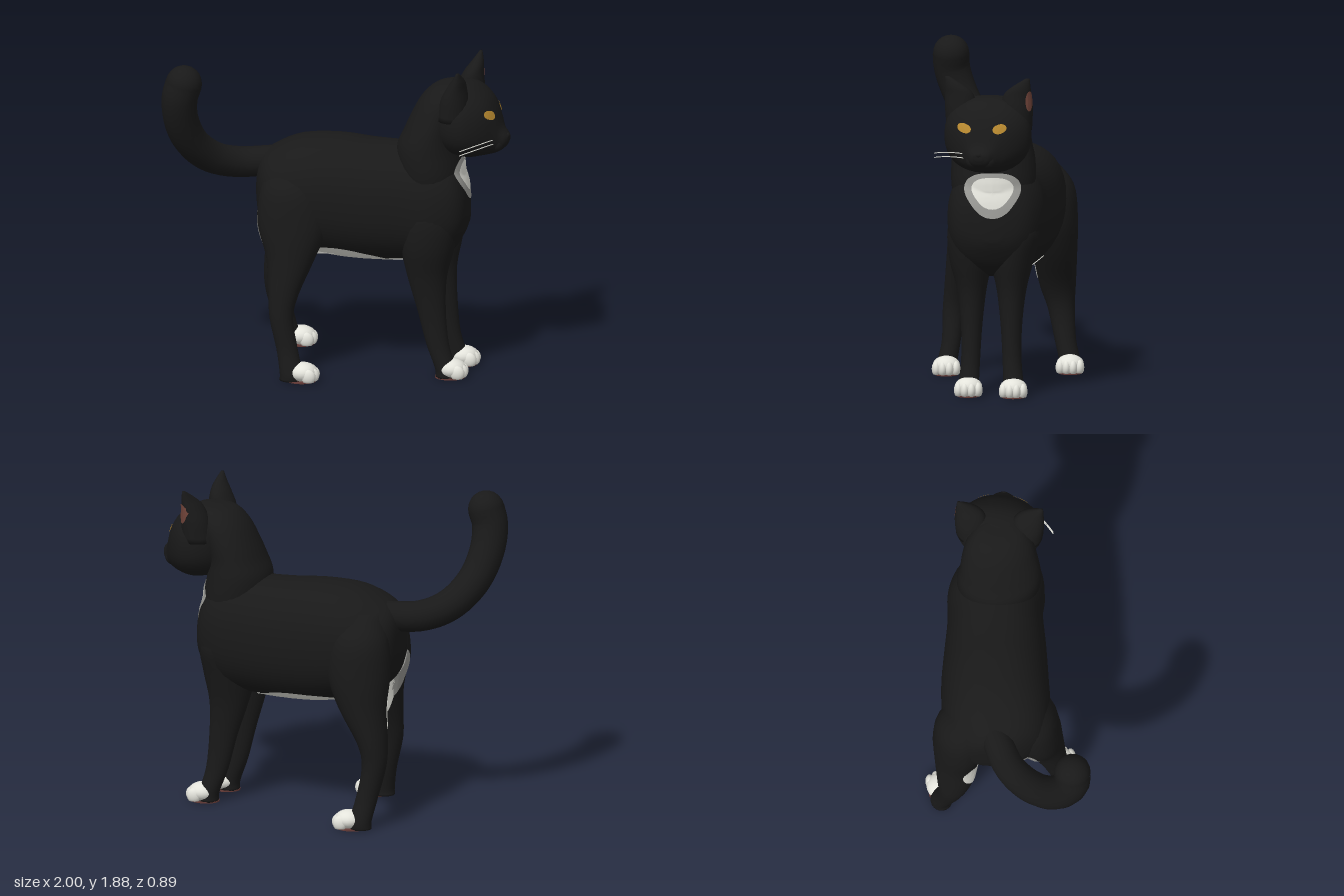
import * as THREE from 'three';

const mat = (name, color, side = THREE.FrontSide) => {
  const m = new THREE.MeshStandardMaterial({ color, side });
  m.name = name;
  return m;
};

// Smooth skin through cross-sections [t, a, b, ra, rb]; t runs along the axis.
// axis 'x': ring in y/z, t increasing.  axis 'y': ring in x/z, t decreasing.
function loft(sections, axis, around = 28, steps = 4, power = 1) {
  const n = sections.length;
  const curve = new THREE.CubicInterpolant(sections.map((_, i) => i), sections.flat(), 5);
  const pos = [], idx = [];
  const put = (t, p, q) => (axis === 'x' ? pos.push(t, p, q) : pos.push(p, t, q));
  const soft = (v) => Math.sign(v) * Math.abs(v) ** power;
  const rings = (n - 1) * steps + 1;
  for (let i = 0; i < rings; i++) {
    const [t, a, b, ra, rb] = [...curve.evaluate(i / steps)];
    for (let j = 0; j < around; j++) {
      const w = (j / around) * Math.PI * 2;
      put(t, a + ra * soft(Math.cos(w)), b + rb * soft(Math.sin(w)));
    }
  }
  const first = sections[0], last = sections[n - 1], s = rings * around;
  put(first[0], first[1], first[2]);
  put(last[0], last[1], last[2]);
  for (let j = 0; j < around; j++) {
    const k = (j + 1) % around, e = (rings - 1) * around;
    idx.push(s, k, j, s + 1, e + j, e + k);
    for (let i = 0; i < rings - 1; i++) {
      const p = i * around, q = p + around;
      idx.push(p + j, p + k, q + j, p + k, q + k, q + j);
    }
  }
  const g = new THREE.BufferGeometry();
  g.setAttribute('position', new THREE.Float32BufferAttribute(pos, 3));
  g.setIndex(idx);
  g.computeVertexNormals();
  return g;
}

// Section along x given by its top and bottom heights
const slice = (x, top, bottom, z, half) => [x, (top + bottom) / 2, z, (top - bottom) / 2, half];

export function createModel() {
  const root = new THREE.Group();
  root.name = 'cat';
  const black = mat('black fur', 0x191919);
  const white = mat('white fur', 0xe4e4dc, THREE.DoubleSide);
  const grey = mat('grey fur', 0x9a9a96, THREE.DoubleSide);
  const amber = mat('amber eye', 0xb98a30, THREE.DoubleSide);
  const brown = mat('paw pad', 0x643a36);
  const pink = mat('inner ear', 0x6e4238, THREE.DoubleSide);

  const add = (name, geometry, material, parent = root) => {
    const m = new THREE.Mesh(geometry, material);
    m.name = name;
    parent.add(m);
    return m;
  };

  // Torso and neck
  const torso = add('torso', loft([
    slice(-0.48, 1.13, 0.96, -0.04, 0.05),
    slice(-0.455, 1.23, 0.86, -0.04, 0.17),
    slice(-0.38, 1.295, 0.78, -0.03, 0.26),
    slice(-0.22, 1.36, 0.71, -0.03, 0.31),
    slice(0, 1.375, 0.67, -0.02, 0.31),
    slice(0.2, 1.36, 0.66, 0, 0.295),
    slice(0.4, 1.355, 0.665, 0.02, 0.275),
    slice(0.55, 1.36, 0.68, 0.04, 0.28),
    slice(0.67, 1.3, 0.74, 0.055, 0.24),
    slice(0.735, 1.17, 0.84, 0.06, 0.17),
    slice(0.762, 1.05, 0.91, 0.06, 0.06),
  ], 'x', 36, 4, 0.88), black);
  const neck = add('neck', loft([
    [1.745, 0.68, 0.07, 0.05, 0.08],
    [1.72, 0.655, 0.07, 0.105, 0.14],
    [1.65, 0.62, 0.065, 0.14, 0.19],
    [1.55, 0.575, 0.06, 0.15, 0.215],
    [1.45, 0.54, 0.06, 0.16, 0.23],
    [1.35, 0.525, 0.055, 0.185, 0.242],
    [1.2, 0.54, 0.055, 0.19, 0.24],
    [1.0, 0.55, 0.05, 0.16, 0.2],
  ], 'y', 32), black);

  // Tail, a tube that swells toward a round tip
  const tailPath = new THREE.CatmullRomCurve3([
    [-0.38, 1.2, -0.06], [-0.58, 1.2, 0], [-0.72, 1.25, 0.09], [-0.83, 1.37, 0.2],
    [-0.885, 1.53, 0.29], [-0.89, 1.68, 0.34], [-0.865, 1.77, 0.345],
  ].map((p) => new THREE.Vector3(...p)));
  const tail = new THREE.TubeGeometry(tailPath, 32, 0.1, 16);
  const tp = tail.attributes.position, v = new THREE.Vector3();
  for (let i = 0; i < tp.count; i++) {
    const t = Math.floor(i / 17) / 32, c = tailPath.getPointAt(t);
    v.fromBufferAttribute(tp, i).sub(c).multiplyScalar(0.86 + 0.2 * t).add(c);
    tp.setXYZ(i, v.x, v.y, v.z);
  }
  add('tail', tail, black);
  add('tailTip', new THREE.SphereGeometry(0.105, 18, 12), black)
    .position.copy(tailPath.getPointAt(1));

  // Legs, listed from top to bottom
  const nearFront = [
    [1.1, 0.54, 0.18, 0.12, 0.1], [0.95, 0.545, 0.185, 0.165, 0.135], [0.78, 0.53, 0.185, 0.155, 0.125],
    [0.6, 0.525, 0.18, 0.115, 0.085], [0.4, 0.55, 0.18, 0.083, 0.062], [0.2, 0.585, 0.185, 0.066, 0.055],
    [0.06, 0.63, 0.195, 0.06, 0.06], [0.005, 0.635, 0.195, 0.06, 0.065],
  ];
  const farFront = nearFront.map(([y, x, z, rx, rz], i) =>
    [y, x + Math.min(0.045, i * 0.012), (i < 2 ? 0.1 : 0.13) - z, rx, rz]);
  const nearRear = [
    [1.22, -0.27, 0.1, 0.1, 0.1], [1.1, -0.26, 0.15, 0.18, 0.15], [0.9, -0.25, 0.19, 0.205, 0.145],
    [0.7, -0.26, 0.235, 0.14, 0.115], [0.5, -0.295, 0.285, 0.088, 0.08], [0.36, -0.305, 0.31, 0.068, 0.065],
    [0.18, -0.27, 0.325, 0.062, 0.055], [0.05, -0.245, 0.35, 0.066, 0.06], [0.005, -0.245, 0.35, 0.066, 0.06],
  ];
  const farRear = [
    [1.25, -0.29, -0.16, 0.1, 0.1], [1.1, -0.28, -0.22, 0.17, 0.16], [0.9, -0.28, -0.245, 0.185, 0.16],
    [0.7, -0.31, -0.27, 0.14, 0.13], [0.5, -0.375, -0.285, 0.088, 0.105], [0.36, -0.39, -0.305, 0.07, 0.078],
    [0.18, -0.355, -0.33, 0.064, 0.062], [0.05, -0.325, -0.36, 0.066, 0.062], [0.005, -0.325, -0.36, 0.066, 0.062],
  ];
  const legs = {};
  const flatSphere = (x, y, z, rx, ry, rz) => {
    const g = new THREE.SphereGeometry(1, 18, 12).scale(rx, ry, rz).translate(x, y, z);
    const p = g.attributes.position;
    for (let i = 0; i < p.count; i++) p.setY(i, Math.max(0.006, p.getY(i)));
    g.computeVertexNormals();
    return g;
  };
  for (const [name, sections] of Object.entries({ nearFront, farFront, nearRear, farRear })) {
    legs[name] = add(name + 'Leg', loft(sections, 'y', 22), black);
    // Paw with four toes and a pad below
    const [, x, z] = sections[sections.length - 1];
    const paw = new THREE.Group();
    paw.name = name + 'Paw';
    paw.position.set(x + (x > 0 ? 0.035 : 0.07), 0, z);
    root.add(paw);
    add('foot', flatSphere(0, 0.054, 0, 0.083, 0.056, 0.08), white, paw);
    [-0.056, -0.019, 0.019, 0.056].forEach((tz, i) =>
      add('toe', flatSphere(i % 3 ? 0.053 : 0.036, 0.04, tz, 0.042, 0.045, 0.027), white, paw));
    const pad = add('pad', new THREE.CylinderGeometry(0.07, 0.07, 0.008, 20), brown, paw);
    pad.scale.x = 1.25;
    pad.position.set(-0.012, 0.004, 0);
  }

  // Head, turned slightly to one side
  const head = new THREE.Group();
  head.name = 'head';
  head.position.set(0.72, 0, 0.075);
  head.rotation.y = -0.19;
  root.add(head);
  const skull = add('skull', loft([
    slice(-0.15, 1.68, 1.42, 0, 0.1),
    slice(-0.1, 1.73, 1.36, 0, 0.19),
    slice(-0.02, 1.75, 1.325, 0, 0.245),
    slice(0.06, 1.742, 1.315, 0, 0.25),
    slice(0.125, 1.705, 1.325, 0, 0.215),
    slice(0.175, 1.655, 1.335, 0, 0.165),
    slice(0.21, 1.585, 1.345, 0, 0.115),
    slice(0.237, 1.505, 1.36, 0, 0.08),
    slice(0.265, 1.467, 1.385, 0, 0.055),
    slice(0.28, 1.45, 1.415, 0, 0.025),
  ], 'x', 32, 4, 0.86), black, head);
  add('nose', new THREE.SphereGeometry(0.025, 12, 8).scale(0.7, 0.7, 1), black, head).position.set(0.266, 1.445, 0);
  const ears = [1, -1].map((s) => {
    add('muzzle', new THREE.SphereGeometry(0.05, 14, 10), black, head).position.set(0.21, 1.405, 0.04 * s);
    return add('ear', loft([
      [1.866, 0.04, 0.237 * s, 0.008, 0.012],
      [1.81, 0.03, 0.195 * s, 0.036, 0.058],
      [1.76, 0.015, 0.172 * s, 0.056, 0.084],
      [1.68, 0, 0.165 * s, 0.08, 0.093],
      [1.56, -0.01, 0.16 * s, 0.09, 0.09],
    ], 'y', 20), black, head);
  });
  // Whiskers sweep back from one side of the muzzle
  for (const dy of [0, 0.025]) {
    const path = new THREE.QuadraticBezierCurve3(
      new THREE.Vector3(0.225, 1.415 + dy, 0.06),
      new THREE.Vector3(0.2, 1.43 + dy, 0.19),
      new THREE.Vector3(0.07, 1.395 + dy, 0.305));
    add('whisker', new THREE.TubeGeometry(path, 10, 0.003, 5), white, head);
  }

  // Markings: round patches projected onto the skin and lifted a little
  root.updateMatrixWorld(true);
  const caster = new THREE.Raycaster();
  function marking(name, material, targets, from, toward, ru, rv, lift, radius = () => 1) {
    const origin = new THREE.Vector3(...from), dir = new THREE.Vector3(...toward).normalize();
    const ref = Math.abs(dir.y) > 0.9 ? new THREE.Vector3(0, 0, 1) : new THREE.Vector3(0, 1, 0);
    const side = new THREE.Vector3().crossVectors(dir, ref).normalize();
    const up = new THREE.Vector3().crossVectors(side, dir);
    const N = 36, R = 8, pos = [], idx = [];
    for (let i = 0; i <= R; i++) for (let j = 0; j < N; j++) {
      const w = (j / N) * Math.PI * 2;
      let hit, k = (i / R) * radius(w);
      for (let tries = 0; !hit && tries < 30; tries++, k *= 0.93) {
        caster.set(origin.clone().addScaledVector(side, k * ru * Math.cos(w))
          .addScaledVector(up, k * rv * Math.sin(w)), dir);
        hit = caster.intersectObjects(targets, false)[0];
      }
      const p = hit ? hit.point.addScaledVector(dir, -lift) : origin.clone();
      pos.push(p.x, p.y, p.z);
      if (i < R) {
        const a = i * N + j, b = i * N + ((j + 1) % N);
        idx.push(a, a + N, b, b, a + N, b + N);
      }
    }
    const g = new THREE.BufferGeometry();
    g.setAttribute('position', new THREE.Float32BufferAttribute(pos, 3));
    g.setIndex(idx);
    g.computeVertexNormals();
    add(name, g, material);
  }
  const heart = (w) => 1 + 0.09 * Math.sin(3 * w);
  marking('bibEdge', grey, [torso, neck], [1.2, 1.185, 0.055], [-1, 0, 0], 0.16, 0.13, 0.005, heart);
  marking('bib', white, [torso, neck], [1.2, 1.195, 0.055], [-1, 0, 0], 0.118, 0.09, 0.009, heart);
  marking('belly', white, [torso], [0.04, 0.1, -0.005], [0, 1, 0], 0.36, 0.215, 0.006);
  marking('rumpPatch', grey, [torso, legs.nearRear], [-0.9, 0.79, 0.08], [1, 0, 0.1], 0.07, 0.16, 0.008);
  marking('nearThighPatch', white, [legs.nearRear], [-0.28, 0.7, -0.05], [0, 0, 1], 0.095, 0.16, 0.008, heart);
  marking('farThighPatch', white, [legs.farRear], [-0.52, 0.66, 0], [0.55, 0, -0.83], 0.08, 0.13, 0.006);
  marking('innerEar', pink, [ears[1]], [1.06, 1.735, -0.21], [-1, 0, 0.2], 0.024, 0.058, 0.006);
  for (const z of [0.213, 0.008]) {
    const slant = (w) => 1 + 0.14 * Math.cos(2 * w + (z > 0.1 ? 0.8 : -0.8));
    marking('eye', amber, [skull], [1.2, 1.59, z], [-1, 0, 0], 0.036, 0.03, 0.005, slant);
  }
  return root;
}
